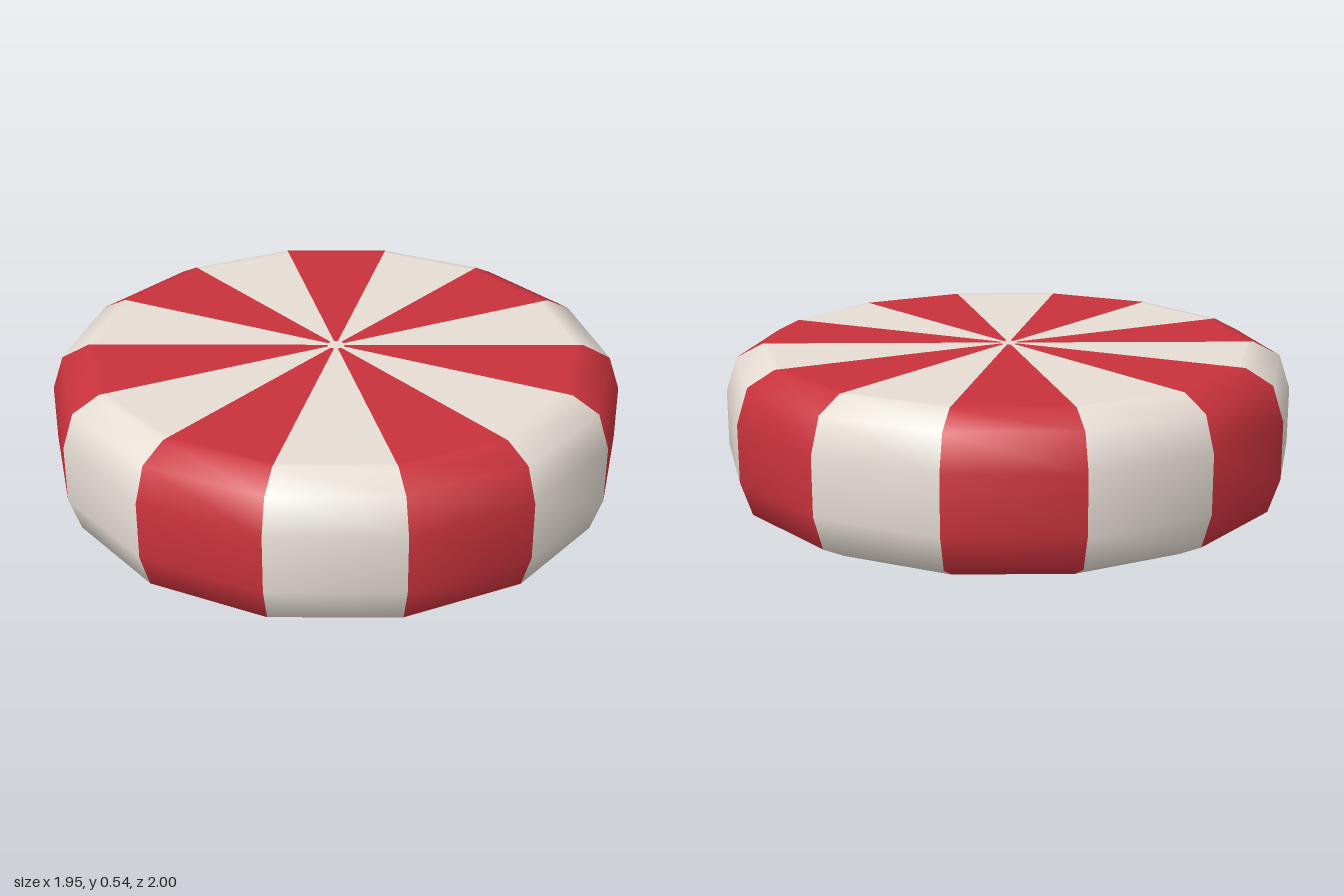
import * as THREE from 'three';

const SIDES = 14;

export function createModel() {
  const red = new THREE.MeshStandardMaterial({ color: 0xc8323c });
  red.name = 'candy red';
  const cream = new THREE.MeshStandardMaterial({ color: 0xe6ddd4 });
  cream.name = 'cream white';

  // Rounded disc profile, bottom centre to top centre; the 0.84 rings keep the faces flat
  const profile = [
    [0, 0], [0.03, 0], [0.84, 0], [0.865, 0], [0.96, 0.05], [1, 0.17],
    [1, 0.37], [0.96, 0.49], [0.865, 0.54], [0.84, 0.54], [0.03, 0.54], [0, 0.54],
  ].map(([r, y]) => new THREE.Vector2(r, y));
  const geometry = new THREE.LatheGeometry(profile, SIDES);

  // Alternate wedge colours, with a tiny cream spot at both centres
  const wedge = (profile.length - 1) * 6;
  geometry.clearGroups();
  for (let i = 0; i < SIDES; i++) {
    const start = i * wedge;
    geometry.addGroup(start, 6, 0);
    geometry.addGroup(start + 6, wedge - 12, i % 2);
    geometry.addGroup(start + wedge - 6, 6, 0);
  }

  const candy = new THREE.Mesh(geometry, [cream, red]);
  candy.name = 'stripedCandyDisc';

  const group = new THREE.Group();
  group.name = 'peppermintCandy';
  group.add(candy);
  return group;
}
